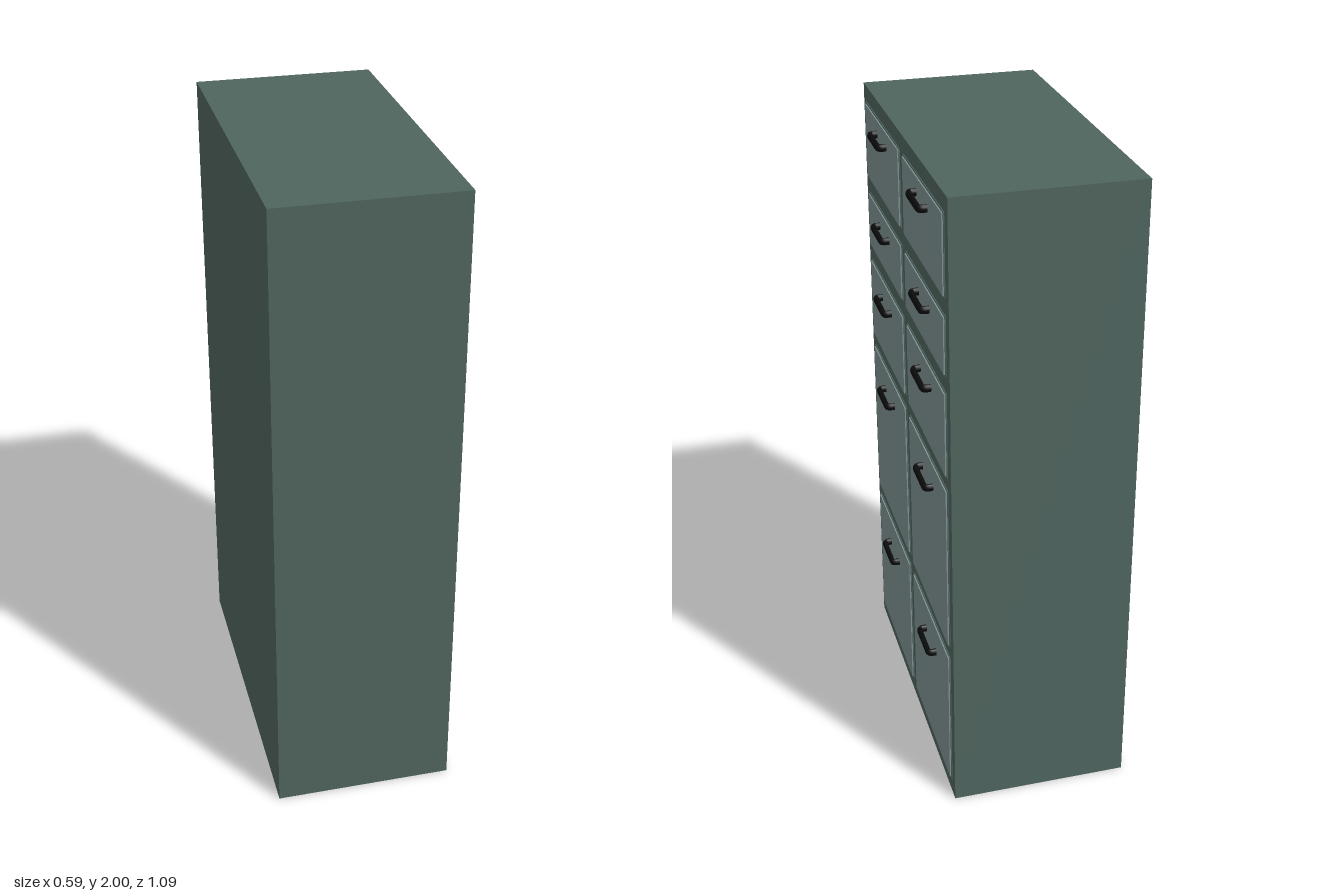
import * as THREE from 'three';

const bodyMat = new THREE.MeshStandardMaterial({ color: 0x50655f });
const panelMat = new THREE.MeshStandardMaterial({ color: 0x7f9293 });
const handleMat = new THREE.MeshStandardMaterial({ color: 0x0c0c0c });

const FRONT = 0.258; // x of the cabinet face that carries the drawers
const FACE = 0.265; // x of the drawer faces

// Rows from top to bottom: [bottom, top, handle height]
const rows = [
  [1.706, 1.95, 1.9],
  [1.473, 1.655, 1.603],
  [1.152, 1.422, 1.359],
  [0.564, 1.11, 1.03],
  [0.053, 0.524, 0.429],
];
// Columns: [z min, z max, handle z]
const columns = [
  [0.024, 0.506, 0.257],
  [-0.508, -0.026, -0.275],
];

function box(name, mat, x0, x1, y0, y1, z0, z1) {
  const mesh = new THREE.Mesh(new THREE.BoxGeometry(x1 - x0, y1 - y0, z1 - z0), mat);
  mesh.position.set((x0 + x1) / 2, (y0 + y1) / 2, (z0 + z1) / 2);
  mesh.name = name;
  return mesh;
}

// Bent bar pull: two legs joined by a grip with rounded corners
function handleGeometry() {
  const r = 0.0085, half = 0.066, reach = 0.0235, bend = 0.012;
  const v = (x, z) => new THREE.Vector3(x, 0, z);
  const path = new THREE.CurvePath();
  path.add(new THREE.LineCurve3(v(-0.003, -half), v(reach - bend, -half)));
  path.add(new THREE.QuadraticBezierCurve3(v(reach - bend, -half), v(reach, -half), v(reach, bend - half)));
  path.add(new THREE.LineCurve3(v(reach, bend - half), v(reach, half - bend)));
  path.add(new THREE.QuadraticBezierCurve3(v(reach, half - bend), v(reach, half), v(reach - bend, half)));
  path.add(new THREE.LineCurve3(v(reach - bend, half), v(-0.003, half)));
  return new THREE.TubeGeometry(path, 48, r, 12).scale(1, 1.4, 1);
}

export function createModel() {
  const group = new THREE.Group();
  group.name = 'drawerCabinet';
  group.add(box('cabinetBody', bodyMat, -0.297, FRONT, 0, 2, -0.543, 0.543));

  const pull = handleGeometry();
  for (const [z0, z1, hz] of columns) {
    for (const [y0, y1, hy] of rows) {
      const drawer = new THREE.Group();
      drawer.name = 'drawer';
      // Thin rim in the body colour behind a slightly smaller front panel
      drawer.add(box('drawerRim', bodyMat, FRONT - 0.01, FRONT + 0.003, y0, y1, z0, z1));
      const e = 0.005;
      drawer.add(box('drawerFront', panelMat, FRONT - 0.01, FACE, y0 + e, y1 - e, z0 + e, z1 - e));
      const handle = new THREE.Mesh(pull, handleMat);
      handle.position.set(FACE, hy, hz);
      handle.name = 'drawerHandle';
      drawer.add(handle);
      group.add(drawer);
    }
  }
  return group;
}
